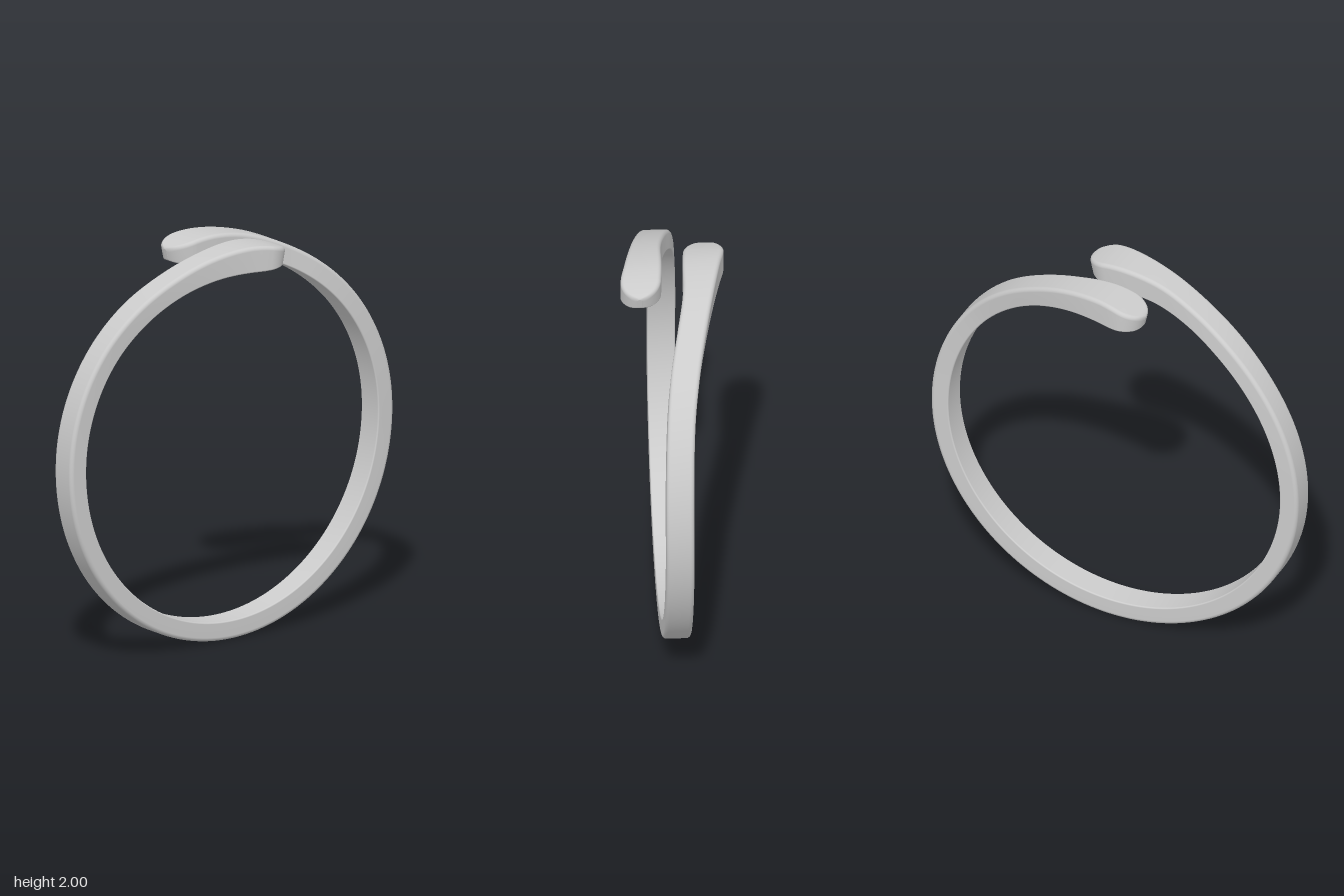
import * as THREE from 'three';

const CENTRE_Y = 0.985;
const TIP = -13.4;          // angle of the strand tip past the top, in degrees
const TIP_LENGTH = 7;       // angular length of the rounded end

// One strand: [degrees from the top, left x, right x, inner radius, outer radius]
const KEYS = [
  [-13.4, 0.070, 0.264, 0.915, 0.995],
  [-5.8, 0.057, 0.253, 0.890, 1.010],
  [0, 0.050, 0.232, 0.885, 1.013],
  [11.7, 0.044, 0.193, 0.888, 1.003],
  [24, 0.014, 0.155, 0.890, 0.990],
  [37.5, -0.022, 0.119, 0.890, 0.986],
  [54, -0.047, 0.088, 0.890, 0.985],
  [75, -0.060, 0.075, 0.890, 0.985],
  [100, -0.060, 0.075, 0.890, 0.985],
  [180, -0.060, 0.075, 0.890, 0.985],
];

// Smooth interpolation of the keys
function sample(deg) {
  let i = 0;
  while (i < KEYS.length - 2 && deg > KEYS[i + 1][0]) i++;
  const a = KEYS[i], b = KEYS[i + 1], h = b[0] - a[0];
  const t = THREE.MathUtils.clamp((deg - a[0]) / h, 0, 1);
  const slope = (k, c) => {
    const p = KEYS[Math.max(k - 1, 0)], n = KEYS[Math.min(k + 1, KEYS.length - 1)];
    return (n[c] - p[c]) / (n[0] - p[0]);
  };
  return [1, 2, 3, 4].map((c) => {
    const t2 = t * t, t3 = t2 * t;
    return (2 * t3 - 3 * t2 + 1) * a[c] + (t3 - 2 * t2 + t) * h * slope(i, c)
      + (3 * t2 - 2 * t3) * b[c] + (t3 - t2) * h * slope(i + 1, c);
  });
}

// Rounded rectangle in (x, radius): crisp inner corners, softer outer corners
function section(x0, x1, r0, r1) {
  const limit = Math.min(x1 - x0, r1 - r0) * 0.45;
  const ci = Math.min(0.007, limit), co = Math.min(0.02, limit);
  const corners = [
    [x0 + ci, r0 + ci, ci, 180], [x1 - ci, r0 + ci, ci, 270],
    [x1 - co, r1 - co, co, 0], [x0 + co, r1 - co, co, 90],
  ];
  const pts = [];
  for (const [cx, cr, rad, start] of corners) {
    for (let k = 0; k <= 5; k++) {
      const q = THREE.MathUtils.degToRad(start + k * 18);
      pts.push([cx + rad * Math.cos(q), cr + rad * Math.sin(q)]);
    }
  }
  return pts;
}

const quarter = (u) => Math.sqrt(1 - (1 - Math.min(u, 1)) ** 2);

// Cross-section at sweep angle s; the second half is the first turned about y
function ringAt(s) {
  const back = s > 180, deg = back ? 360 - s : s;
  let [x0, x1, r0, r1] = sample(deg);
  if (back) {
    const shift = 0.015 * THREE.MathUtils.smoothstep(deg, 0, 54);
    [x0, x1] = [shift - x1, shift - x0];
  }
  // Round the end in plan and soften its upper and lower edges
  const d = Math.max(deg - TIP, 0);
  const mx = (x0 + x1) / 2, hw = (x1 - x0) / 2 * Math.max(quarter(d / TIP_LENGTH), 0.12);
  const mr = (r0 + r1) / 2, hr = (r1 - r0) / 2 * (0.65 + 0.35 * quarter(d / 1.8));
  const a = THREE.MathUtils.degToRad(s);
  return section(mx - hw, mx + hw, mr - hr, mr + hr)
    .map(([x, r]) => new THREE.Vector3(x, CENTRE_Y + r * Math.cos(a), r * Math.sin(a)));
}

function bandGeometry() {
  // Dense steps at the tips, even steps around the hoop
  const half = [];
  for (let k = 0; k < 20; k++) half.push(TIP + TIP_LENGTH * (k / 20) ** 2);
  const from = TIP + TIP_LENGTH;
  for (let k = 0; k < 100; k++) half.push(from + (180 - from) * k / 100);
  const steps = [...half, 180, ...half.map((v) => 360 - v).reverse()];

  const rings = steps.map(ringAt), n = rings[0].length;
  const points = rings.flat(), index = [];
  for (let i = 0; i < rings.length - 1; i++) {
    for (let j = 0; j < n; j++) {
      const a = i * n + j, b = i * n + (j + 1) % n;
      index.push(a, b, b + n, a, b + n, a + n);
    }
  }
  // Close both ends
  [0, rings.length - 1].forEach((i, end) => {
    const mid = rings[i].reduce((m, p) => m.add(p), new THREE.Vector3()).divideScalar(n);
    const c = points.push(mid) - 1;
    for (let j = 0; j < n; j++) {
      const a = i * n + j, b = i * n + (j + 1) % n;
      index.push(c, ...(end ? [a, b] : [b, a]));
    }
  });
  const geometry = new THREE.BufferGeometry().setFromPoints(points);
  geometry.setIndex(index);
  geometry.computeVertexNormals();
  return geometry;
}

export function createModel() {
  const group = new THREE.Group();
  group.name = 'bypassRing';
  const band = new THREE.Mesh(bandGeometry(), new THREE.MeshStandardMaterial({ color: 0xcccccc }));
  band.name = 'band';
  group.add(band);
  return group;
}
